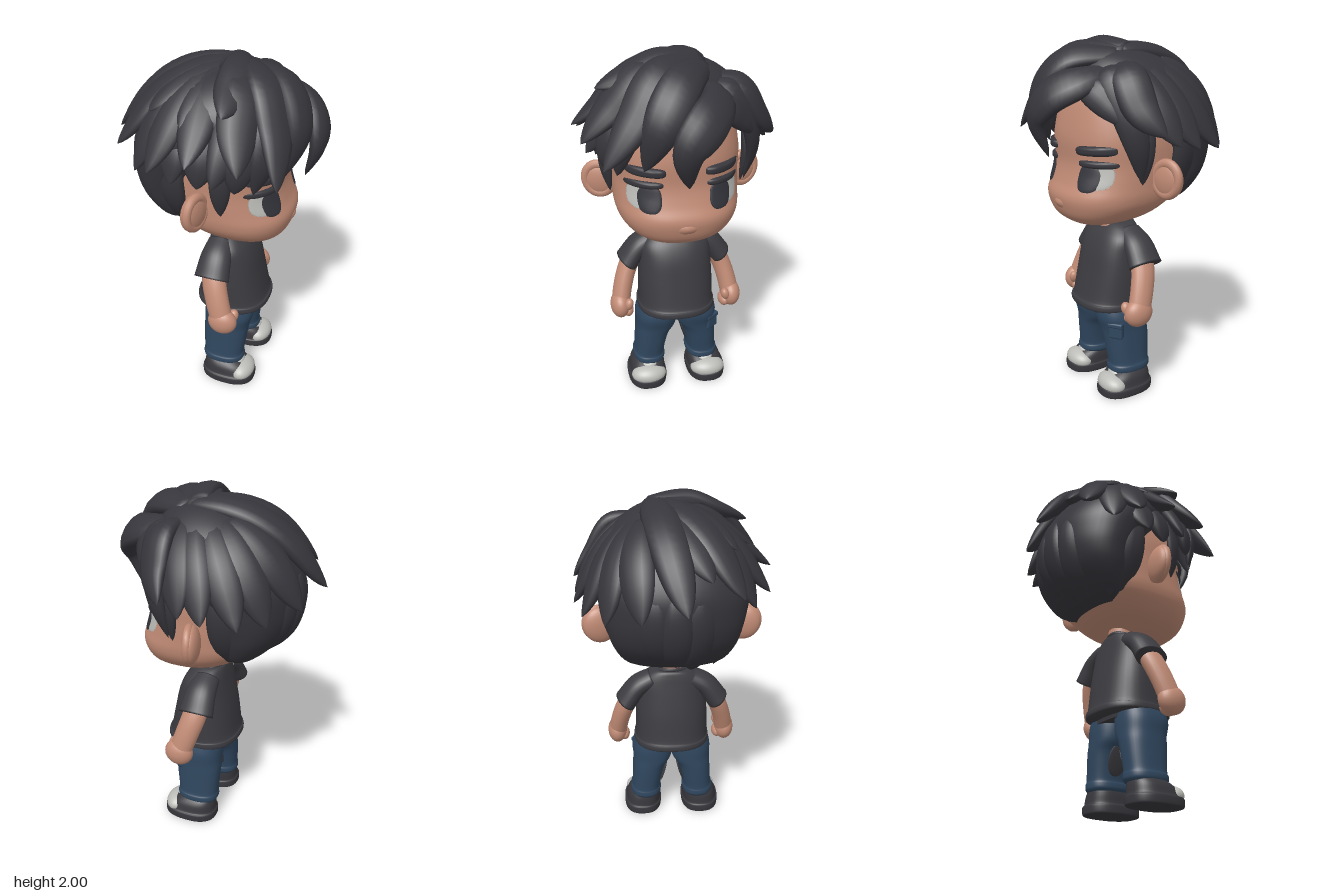
import * as THREE from 'three';
import { RoundedBoxGeometry } from 'three/addons/geometries/RoundedBoxGeometry.js';

const mat = (name, color) => Object.assign(new THREE.MeshStandardMaterial({ color }), { name });
const V = (p) => new THREE.Vector3(...p);
const sgnPow = (v, e) => Math.sign(v) * Math.abs(v) ** e;

// Skin a list of point rings (counter-clockwise about the travel direction), closing both ends
function skin(rings) {
  const n = rings[0].length, pos = [], idx = [];
  rings.forEach((r) => r.forEach((p) => pos.push(p.x, p.y, p.z)));
  for (let i = 0; i < rings.length - 1; i++) for (let j = 0; j < n; j++) {
    const a = i * n + j, b = i * n + (j + 1) % n;
    idx.push(a, b, a + n, b, b + n, a + n);
  }
  for (const end of [0, rings.length - 1]) {
    const c = new THREE.Vector3();
    rings[end].forEach((p) => c.addScaledVector(p, 1 / n));
    const k = pos.length / 3;
    pos.push(c.x, c.y, c.z);
    for (let j = 0; j < n; j++) {
      const a = end * n + j, b = end * n + (j + 1) % n;
      end ? idx.push(a, b, k) : idx.push(b, a, k);
    }
  }
  const g = new THREE.BufferGeometry();
  g.setAttribute('position', new THREE.Float32BufferAttribute(pos, 3));
  g.setIndex(idx);
  g.computeVertexNormals();
  return g;
}

// Smooth sampling of section rows [y, halfWidth, zBack, zFront, centreX]
function sample(rows, t) {
  const f = t * (rows.length - 1), i = Math.min(Math.floor(f), rows.length - 2), u = f - i;
  const at = (k) => rows[Math.max(0, Math.min(rows.length - 1, k))];
  return at(i).map((p1, c) => {
    const p0 = at(i - 1)[c], p2 = at(i + 1)[c], p3 = at(i + 2)[c];
    return p1 + 0.5 * u * (p2 - p0 + u * (2 * p0 - 5 * p1 + 4 * p2 - p3 + u * (3 * (p1 - p2) + p3 - p0)));
  });
}

// Upright body from superellipse sections
function loft(rows, n = 2.4, seg = 40) {
  const rings = [], steps = rows.length * 4;
  for (let i = 0; i <= steps; i++) {
    const [y, rx, zb, zf, cx = 0] = sample(rows, i / steps);
    rings.push(Array.from({ length: seg }, (_, j) => {
      const a = j / seg * Math.PI * 2;
      return V([cx + rx * sgnPow(Math.sin(a), 2 / n), y, (zb + zf) / 2 + (zf - zb) / 2 * sgnPow(Math.cos(a), 2 / n)]);
    }));
  }
  return skin(rings);
}

// Tube of elliptical section along a curve; size(t) gives [half width, half thickness]
function sweep(pts, size, centre, seg = 12, steps = 22) {
  const curve = new THREE.CatmullRomCurve3(pts), rings = [];
  for (let i = 0; i <= steps; i++) {
    const t = i / steps, p = curve.getPoint(t), T = curve.getTangent(t);
    const O = p.clone().sub(centre);
    O.addScaledVector(T, -O.dot(T)).normalize();
    const S = O.clone().cross(T), [w, d] = size(t);
    rings.push(Array.from({ length: seg }, (_, j) => {
      const a = j / seg * Math.PI * 2;
      return p.clone().addScaledVector(S, w * Math.cos(a)).addScaledVector(O, d * Math.sin(a));
    }));
  }
  return skin(rings);
}

const headRows = [
  [1.005, 0.1, 0.06, 0.28], [1.02, 0.18, 0, 0.335], [1.06, 0.26, -0.12, 0.385], [1.12, 0.315, -0.22, 0.41],
  [1.18, 0.337, -0.28, 0.415], [1.25, 0.342, -0.3, 0.385], [1.35, 0.345, -0.33, 0.36], [1.5, 0.345, -0.33, 0.36],
  [1.7, 0.3, -0.3, 0.31], [1.8, 0.2, -0.2, 0.22]];

// Depth of the face surface at (x, y)
function faceZ(x, y) {
  let lo = 0, hi = 1;
  for (let i = 0; i < 24; i++) {
    const m = (lo + hi) / 2;
    sample(headRows, m)[0] < y ? lo = m : hi = m;
  }
  const [, rx, zb, zf] = sample(headRows, lo);
  return (zb + zf) / 2 + (zf - zb) / 2 * Math.max(0, 1 - Math.abs(x / rx) ** 2.4) ** (1 / 2.4);
}

// Rounded patch that follows the face; lift(r) is the height above the skin
function facePatch(cx, cy, w, h, n, tilt, lift) {
  return skin([1, 0.97, 0.9, 0.75, 0.5, 0.25, 0.05].map((r) => Array.from({ length: 36 }, (_, j) => {
    const a = j / 36 * Math.PI * 2;
    const dx = w * r * sgnPow(Math.cos(a), 2 / n), x = cx + dx;
    const y = cy + h * r * sgnPow(Math.sin(a), 2 / n) + dx * tilt;
    return V([x, y, faceZ(x, y) + lift(r)]);
  })));
}

export function createModel() {
  const root = new THREE.Group(), body = new THREE.Group();
  root.name = 'character';
  body.name = 'body';
  body.rotation.y = Math.PI / 2; // built facing +z, then turned to face +x
  root.add(body);
  const hair = mat('charcoalHair', 0x37363c), skinMat = mat('tanSkin', 0xc18b75), shirt = mat('darkShirt', 0x3c3c41);
  const denim = mat('blueDenim', 0x30475f), shoe = mat('darkShoe', 0x38373c), light = mat('offWhite', 0xbcbcb8);
  const iris = mat('darkIris', 0x34343c);
  const add = (name, geo, m, p = [0, 0, 0], r = [0, 0, 0], s = [1, 1, 1]) => {
    const mesh = new THREE.Mesh(geo, m);
    mesh.name = name;
    mesh.position.set(...p);
    mesh.rotation.set(...r);
    mesh.scale.set(...s);
    body.add(mesh);
  };
  const ball = (name, m, p, s, r) => add(name, new THREE.SphereGeometry(1, 28, 18), m, p, r, s);

  // Head, neck and mouth
  add('head', loft(headRows, 2.4, 56), skinMat);
  add('neck', new THREE.CylinderGeometry(0.07, 0.075, 0.14, 24), skinMat, [0, 1, 0.04]);
  ball('neckline', skinMat, [0, 0.962, 0.078], [0.072, 0.036, 0.07]);
  add('lips', facePatch(0, 1.13, 0.05, 0.025, 2, 0, (r) => 0.009 * (1 - r * r) - 0.001), skinMat);

  for (const s of [-1, 1]) {
    // Eyes, lids and brows
    add('eyeWhite', facePatch(s * 0.22, 1.3, 0.072, 0.066, 3, 0, (r) => 0.004 * (1 - r ** 8)), light);
    add('iris', facePatch(s * 0.187, 1.29, 0.062, 0.073, 2.6, 0, (r) => 0.008 * (1 - r ** 8)), iris);
    add('eyelid', facePatch(s * 0.208, 1.362, 0.094, 0.02, 3, 0, (r) => 0.02 * (1 - r ** 4)), hair);
    add('eyebrow', facePatch(s * 0.2, 1.432, 0.1, 0.027, 3.5, s * 0.04, (r) => 0.03 * (1 - r ** 6) - 0.003), hair);

    // Ears
    ball('ear', skinMat, [s * 0.4, 1.28, -0.015], [0.098, 0.105, 0.045], [0, s * 0.25, s * -0.2]);
    add('earRim', new THREE.TorusGeometry(0.075, 0.024, 10, 28), skinMat, [s * 0.408, 1.285, -0.003], [0, s * 0.25, s * -0.2], [1, 1.12, 1]);

    // Sleeves, arms and fists
    const inward = V([0, 0.75, 0.03]);
    add('sleeve', sweep([V([s * 0.11, 0.925, 0.03]), V([s * 0.2, 0.875, 0.03]), V([s * 0.275, 0.775, 0.03])],
      (t) => [0.075 + 0.027 * t, 0.058 + 0.008 * t], inward, 24), shirt);
    add('arm', sweep([V([s * 0.21, 0.85, 0.03]), V([s * 0.27, 0.75, 0.045]), V([s * 0.305, 0.65, 0.075]), V([s * 0.328, 0.54, 0.11])],
      (t) => [0.072 - 0.006 * t, 0.054], inward, 20), skinMat);
    ball('fist', skinMat, [s * 0.33, 0.535, 0.115], [0.058, 0.08, 0.085]);
    ball('thumb', skinMat, [s * 0.288, 0.555, 0.165], [0.026, 0.04, 0.03], [0.3, 0, s * 0.3]);
    ball('fingers', skinMat, [s * 0.288, 0.5, 0.125], [0.032, 0.038, 0.055]);

    // Trouser legs with cuffs and dark inner panels
    add('trouserLeg', loft([[0.12, 0.085, -0.045, 0.18, s * 0.162], [0.135, 0.094, -0.055, 0.195, s * 0.162],
      [0.16, 0.094, -0.055, 0.195, s * 0.162], [0.18, 0.088, -0.052, 0.19, s * 0.16], [0.26, 0.093, -0.057, 0.2, s * 0.15],
      [0.33, 0.102, -0.06, 0.208, s * 0.138], [0.385, 0.118, -0.06, 0.217, s * 0.12], [0.46, 0.124, -0.06, 0.235, s * 0.114],
      [0.54, 0.11, -0.05, 0.22, s * 0.105]]), denim);
    ball('innerPanel', shirt, [s * 0.05, 0.28, 0.05], [0.009, 0.09, 0.06], [0, 0, s * 0.27]);

    // Shoes
    add('shoe', loft([[0, 0.108, -0.045, 0.262, s * 0.182], [0.008, 0.115, -0.053, 0.272, s * 0.182],
      [0.045, 0.116, -0.053, 0.272, s * 0.182], [0.056, 0.107, -0.045, 0.262, s * 0.18], [0.1, 0.1, -0.04, 0.225, s * 0.175],
      [0.13, 0.085, -0.03, 0.18, s * 0.168], [0.145, 0.06, 0, 0.14, s * 0.165]], 2.5), shoe);
    ball('toeCap', light, [s * 0.182, 0.064, 0.195], [0.104, 0.057, 0.074]);
    ball('shoeTongue', light, [s * 0.172, 0.115, 0.165], [0.05, 0.026, 0.04]);
  }
  add('pocket', new RoundedBoxGeometry(0.085, 0.085, 0.05, 3, 0.014), denim, [0.197, 0.385, 0.172], [0, 0.6, 0]);
  add('pocketFlap', new RoundedBoxGeometry(0.092, 0.03, 0.056, 3, 0.01), denim, [0.197, 0.425, 0.175], [0, 0.6, 0]);

  // Shirt, collar and belt
  add('shirtTorso', loft([[0.495, 0.2, -0.11, 0.27], [0.505, 0.225, -0.132, 0.298], [0.535, 0.225, -0.132, 0.298], [0.555, 0.218, -0.12, 0.283],
    [0.7, 0.214, -0.1, 0.25], [0.82, 0.205, -0.078, 0.222], [0.9, 0.195, -0.062, 0.188], [0.95, 0.155, -0.052, 0.15],
    [0.98, 0.105, -0.042, 0.115], [0.985, 0.07, -0.02, 0.09]], 2.4), shirt);
  add('collar', new THREE.TorusGeometry(0.078, 0.015, 10, 36), shirt, [0, 0.965, 0.05], [Math.PI / 2 + 0.38, 0, 0], [1.05, 1, 1]);
  add('belt', loft([[0.472, 0.232, -0.064, 0.24], [0.51, 0.225, -0.064, 0.24]]), shoe);

  // Hair cap
  add('hairCap', loft([[1.1, 0.17, -0.22, -0.09], [1.15, 0.27, -0.31, -0.08], [1.25, 0.33, -0.405, -0.05], [1.35, 0.36, -0.45, -0.02],
    [1.45, 0.385, -0.465, 0.05], [1.55, 0.405, -0.46, 0.13], [1.65, 0.405, -0.42, 0.22], [1.75, 0.37, -0.355, 0.3],
    [1.85, 0.29, -0.25, 0.29], [1.92, 0.18, -0.12, 0.22], [1.94, 0.07, -0.03, 0.1]], 2.1, 48), hair);

  // Hair locks: full in the middle, ending in a soft rounded tip
  const C = V([0, 1.5, -0.05]);
  const strand = (name, pts, w) => add(name, sweep(pts, (t) => {
    const k = (0.5 + 0.5 * Math.sin(Math.PI * Math.min(1, t * 1.02)) ** 0.8) * Math.max(0.004, 1 - t ** 6) ** 0.6;
    return [w * k, w * 0.5 * k];
  }, C), hair);
  // A lock that hugs the skull from a to b and flicks out at the tip
  const wrap = (name, a, b, w, bulge) => {
    const A = V(a).sub(C), B = V(b).sub(C), pts = [];
    for (let i = 0; i <= 8; i++) {
      const t = i / 8, r = A.length() + (B.length() - A.length()) * t ** 3 + bulge * Math.sin(Math.PI * t);
      pts.push(A.clone().lerp(B, t).setLength(r).add(C));
    }
    strand(name, pts, w);
  };

  // Fringe swept across the forehead
  [[[[0.18, 1.83, 0.1], [0.16, 1.78, 0.36], [0.07, 1.71, 0.48], [-0.02, 1.59, 0.52], [-0.005, 1.385, 0.46]], 0.11],
    [[[0.13, 1.91, 0.12], [-0.02, 1.88, 0.34], [-0.14, 1.7, 0.44], [-0.22, 1.47, 0.4]], 0.11],
    [[[0.12, 1.935, 0.06], [-0.12, 1.9, 0.26], [-0.26, 1.7, 0.36], [-0.42, 1.49, 0.42]], 0.11],
    [[[0, 1.9, 0.2], [-0.2, 1.79, 0.31], [-0.31, 1.6, 0.32], [-0.34, 1.41, 0.28]], 0.09],
    [[[0.1, 1.94, 0], [-0.2, 1.89, 0.16], [-0.37, 1.72, 0.2], [-0.51, 1.58, 0.25]], 0.11],
    [[[0.12, 1.945, 0.06], [-0.08, 1.945, 0.12], [-0.26, 1.875, 0.13], [-0.42, 1.825, 0.14]], 0.1],
    [[[0.15, 1.83, 0.2], [0.25, 1.81, 0.24], [0.35, 1.67, 0.22], [0.4, 1.48, 0.18], [0.375, 1.28, 0.13]], 0.085],
    [[[0.17, 1.85, 0.14], [0.32, 1.81, 0.18], [0.43, 1.65, 0.17], [0.54, 1.53, 0.1]], 0.1],
    [[[0.11, 1.76, 0.28], [0.2, 1.75, 0.32], [0.3, 1.67, 0.28], [0.38, 1.58, 0.25]], 0.08],
  ].forEach(([pts, w]) => strand('fringeLock', pts.map(V), w));

  // Sideburns
  for (const s of [-1, 1]) strand('sideburn', [V([s * 0.37, 1.62, 0.1]), V([s * 0.385, 1.45, 0.12]), V([s * 0.36, 1.26, 0.115])], 0.055);

  // Long locks falling from the parting on the left and around the back
  [[0.53, 1.47, 0], [0.53, 1.45, -0.12], [0.48, 1.43, -0.29], [0.36, 1.42, -0.4], [0.18, 1.46, -0.52]]
    .forEach((b, i) => wrap('leftLock', [0.16, 1.87, 0.13 - i * 0.065], b, 0.1, -0.005));

  // Layered locks over the crown, back and right
  [[-0.04, 1.52, -0.59, 0.1], [-0.33, 1.56, -0.46, 0.1], [-0.41, 1.47, -0.33, 0.1], [-0.5, 1.52, -0.22, 0.105],
    [-0.54, 1.6, 0, 0.105], [-0.48, 1.48, 0.11, 0.1], [-0.31, 1.76, -0.28, 0.1], [-0.4, 1.74, -0.08, 0.1], [-0.17, 1.65, -0.47, 0.1]]
    .forEach(([x, y, z, w], i) => wrap('crownLock', [0.1, 1.93, 0.1 - (i % 5) * 0.035], [x, y, z], w, -0.05));
  [[-0.42, 1.43, 0.01], [-0.4, 1.43, 0.2], [-0.45, 1.45, -0.12]].forEach((b) => wrap('underLock', [-0.28, 1.72, b[2]], b, 0.085, 0.02));

  // Nape locks
  for (let i = -4; i <= 4; i++) {
    const a = i * 0.34, x = Math.sin(a), z = -Math.cos(a);
    wrap('napeLock', [x * 0.34, 1.58, -0.06 + z * 0.37], [x * 0.25, 1.13 + 0.02 * (i % 2), -0.13 + z * 0.15], 0.085, 0.02);
  }
  return root;
}
